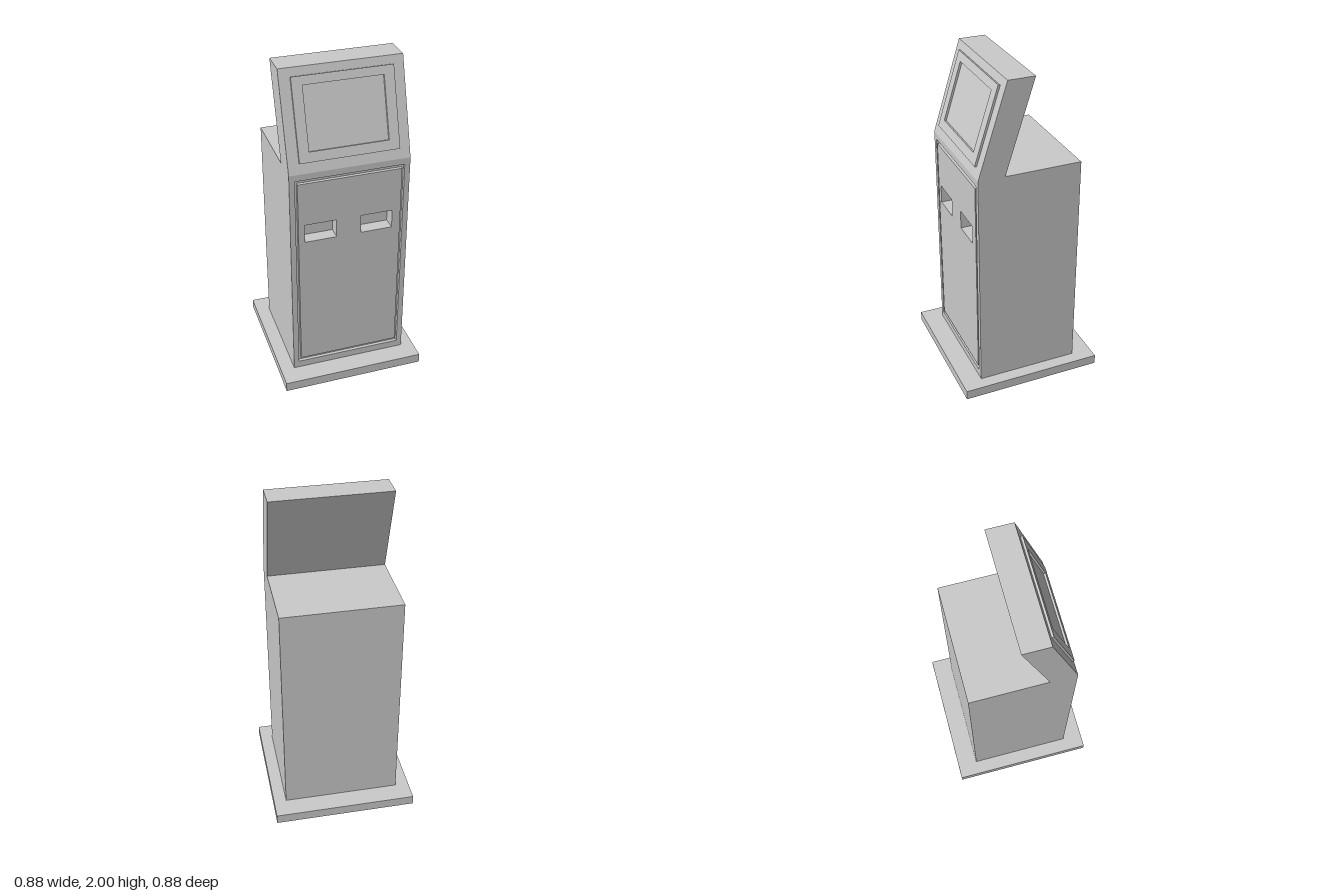
import * as THREE from 'three';

const material = new THREE.MeshStandardMaterial({ color: 0xcccccc, flatShading: true });

// corner points of a rectangle from its limits
const corners = ([x0, x1, y0, y1]) =>
  [[x0, y0], [x1, y0], [x1, y1], [x0, y1]].map(([x, y]) => new THREE.Vector2(x, y));

// flat plate facing +z, with rectangular holes, between depths z0 and z1
function plate(name, outer, holes, z0, z1) {
  const shape = new THREE.Shape(corners(outer));
  for (const h of holes) shape.holes.push(new THREE.Path(corners(h).reverse()));
  const geo = new THREE.ExtrudeGeometry(shape, { depth: z1 - z0, bevelEnabled: false });
  geo.translate(0, 0, z0);
  const mesh = new THREE.Mesh(geo, material);
  mesh.name = name;
  return mesh;
}

export function createModel() {
  const kiosk = new THREE.Group();
  kiosk.name = 'kiosk';

  const left = 0.363, right = -0.355;
  const front = 0.315, grooveFloor = 0.295, pocketFloor = 0.235;
  const bottom = 0.06, shoulder = 1.44, top = 2;
  const topFront = 0.14, headDepth = 0.162;

  // floor plate
  const base = new THREE.Mesh(new THREE.BoxGeometry(0.88, bottom, 0.88), material);
  base.name = 'base';
  base.position.y = bottom / 2;
  kiosk.add(base);

  // cabinet and leaning head: one side profile (z, y) swept across the width
  const profile = new THREE.Shape([
    [-front, bottom], [pocketFloor, bottom], [pocketFloor, shoulder], [front, shoulder],
    [topFront, top], [topFront - headDepth, top], [front - headDepth, shoulder], [-front, shoulder],
  ].map(([z, y]) => new THREE.Vector2(z, y)));
  const bodyGeo = new THREE.ExtrudeGeometry(profile, { depth: left - right, bevelEnabled: false });
  bodyGeo.rotateY(-Math.PI / 2).translate(left, 0, 0);
  const body = new THREE.Mesh(bodyGeo, material);
  body.name = 'body';
  kiosk.add(body);

  // front layers: pockets cut through, door set off by a groove
  const face = [right, left, bottom, shoulder];
  const opening = [-0.322, 0.33, 0.105, 1.4];
  const door = [-0.307, 0.315, 0.13, 1.377];
  const pockets = [[-0.27, -0.078, 0.99, 1.105], [0.072, 0.264, 0.99, 1.105]];
  kiosk.add(
    plate('frontBacking', face, pockets, pocketFloor, grooveFloor),
    plate('doorFrame', face, [opening], grooveFloor, front),
    plate('door', door, pockets, grooveFloor, front),
  );

  // raised screen bezel lying on the sloping face
  const bezel = plate('screenBezel', [-0.295, 0.295, -0.2375, 0.2375],
    [[-0.234, 0.234, -0.179, 0.187]], 0, 0.013);
  const slope = (front - topFront) / (top - shoulder);
  const midY = 1.7255;
  bezel.position.set(0.005, midY, front - slope * (midY - shoulder));
  bezel.rotation.x = -Math.atan(slope);
  kiosk.add(bezel);

  return kiosk;
}
